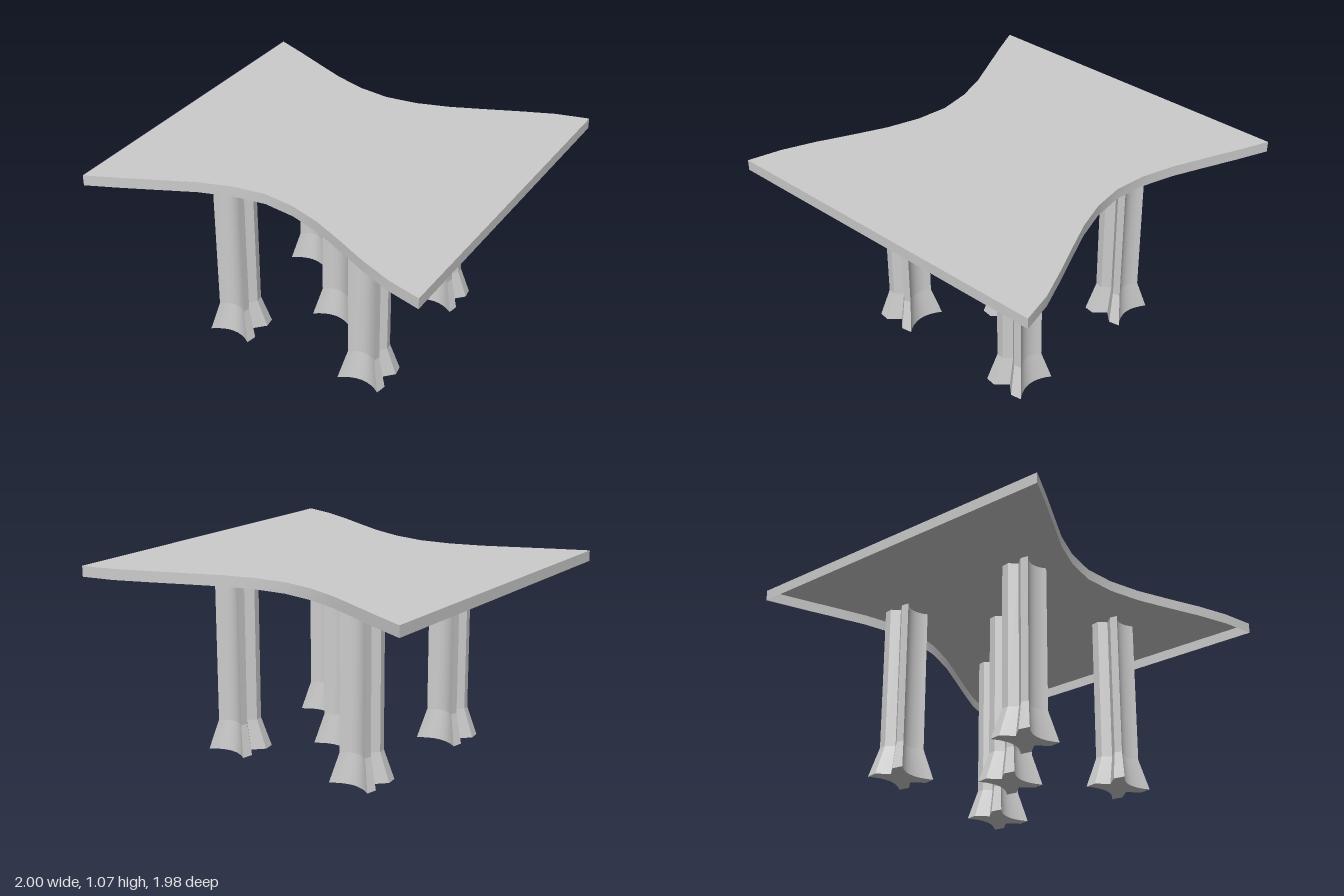
import * as THREE from 'three';
import { mergeGeometries } from 'three/addons/utils/BufferGeometryUtils.js';

const material = new THREE.MeshStandardMaterial({ color: 0xcccccc });
const openMaterial = new THREE.MeshStandardMaterial({ color: 0xcccccc, side: THREE.DoubleSide });

// Upright strip along [x, z] points between two levels { y, sx, sz }; smooth along its length
function wall(points, low, high) {
  const geo = new THREE.PlaneGeometry(1, 1, points.length - 1, 1);
  const pos = geo.attributes.position;
  [high, low].forEach((level, row) => points.forEach(([x, z], i) =>
    pos.setXYZ(row * points.length + i, x * level.sx, level.y, z * level.sz)));
  geo.computeVertexNormals();
  return geo;
}

// Horizontal face inside a closed outline, facing up or down
function cap(points, { y, sx, sz }, up) {
  const dir = up ? -1 : 1;
  const shape = new THREE.Shape(points.map(([x, z]) => new THREE.Vector2(x * sx, dir * z * sz)));
  return new THREE.ShapeGeometry(shape).rotateX(dir * Math.PI / 2).translate(0, y, 0);
}

// Thin top with two waisted edges, hollow underneath
function tableTop() {
  const frontZ = [0.94, 0.86, 0.775, 0.69, 0.63, 0.605, 0.63, 0.69, 0.775, 0.865, 0.94, 0.99];
  const backZ = [0.945, 0.87, 0.79, 0.712, 0.655, 0.632, 0.655, 0.712, 0.79, 0.87, 0.945, 0.99];
  const xAt = i => -1 + 2 * i / 11;
  const front = frontZ.map((z, i) => [xAt(i), z]);
  const back = backZ.map((z, i) => [xAt(i), -z]).reverse();
  const low = { y: 1.01, sx: 1, sz: 1 }, high = { y: 1.07, sx: 1, sz: 1 };
  const sides = [front, [front[11], back[0]], back, [back[11], front[0]]];
  const geo = mergeGeometries([
    cap([...front, ...back], high, true),
    ...sides.map(side => wall(side, low, high)),
  ]);
  return new THREE.Mesh(geo, openMaterial);
}

// Fluted post: hollowed front and back, V groove on each side, flared foot
function legGeometry() {
  const n = 8;
  const flute = [];
  for (let i = 0; i <= n; i++) {
    const t = -1 + 2 * i / n;
    flute.push([t * 0.081, 0.052 + 0.033 * t * t]);
  }
  const groove = [[0.081, 0.085], [0.0875, 0.042], [0.05, 0], [0.0875, -0.042], [0.081, -0.085]];
  const turn = points => points.map(([x, z]) => [-x, -z]);
  const strips = [flute];
  for (let i = 0; i < 4; i++) strips.push([groove[i], groove[i + 1]]);
  strips.push(...strips.map(turn));
  const outline = strips.flatMap(s => s.slice(0, -1));

  const levels = [
    { y: 0, sx: 1.53, sz: 1.45 },
    { y: 0.17, sx: 1, sz: 1 },
    { y: 1, sx: 1, sz: 1 },
  ];
  const parts = [cap(outline, levels[0], false), cap(outline, levels[2], true)];
  for (const s of strips) {
    parts.push(wall(s, levels[0], levels[1]), wall(s, levels[1], levels[2]));
  }
  return mergeGeometries(parts);
}

export function createModel() {
  const model = new THREE.Group();
  model.name = 'table';

  const top = tableTop();
  top.name = 'tableTop';
  model.add(top);

  // One leg in the middle and four around it
  const geo = legGeometry();
  const spots = {
    centreLeg: [0, 0],
    frontLeftLeg: [1, 1],
    frontRightLeg: [-1, 1],
    backLeftLeg: [1, -1],
    backRightLeg: [-1, -1],
  };
  for (const [name, [x, z]] of Object.entries(spots)) {
    const leg = new THREE.Mesh(geo, material);
    leg.name = name;
    leg.position.set(x * 0.418, 0, z * 0.418);
    model.add(leg);
  }
  return model;
}
